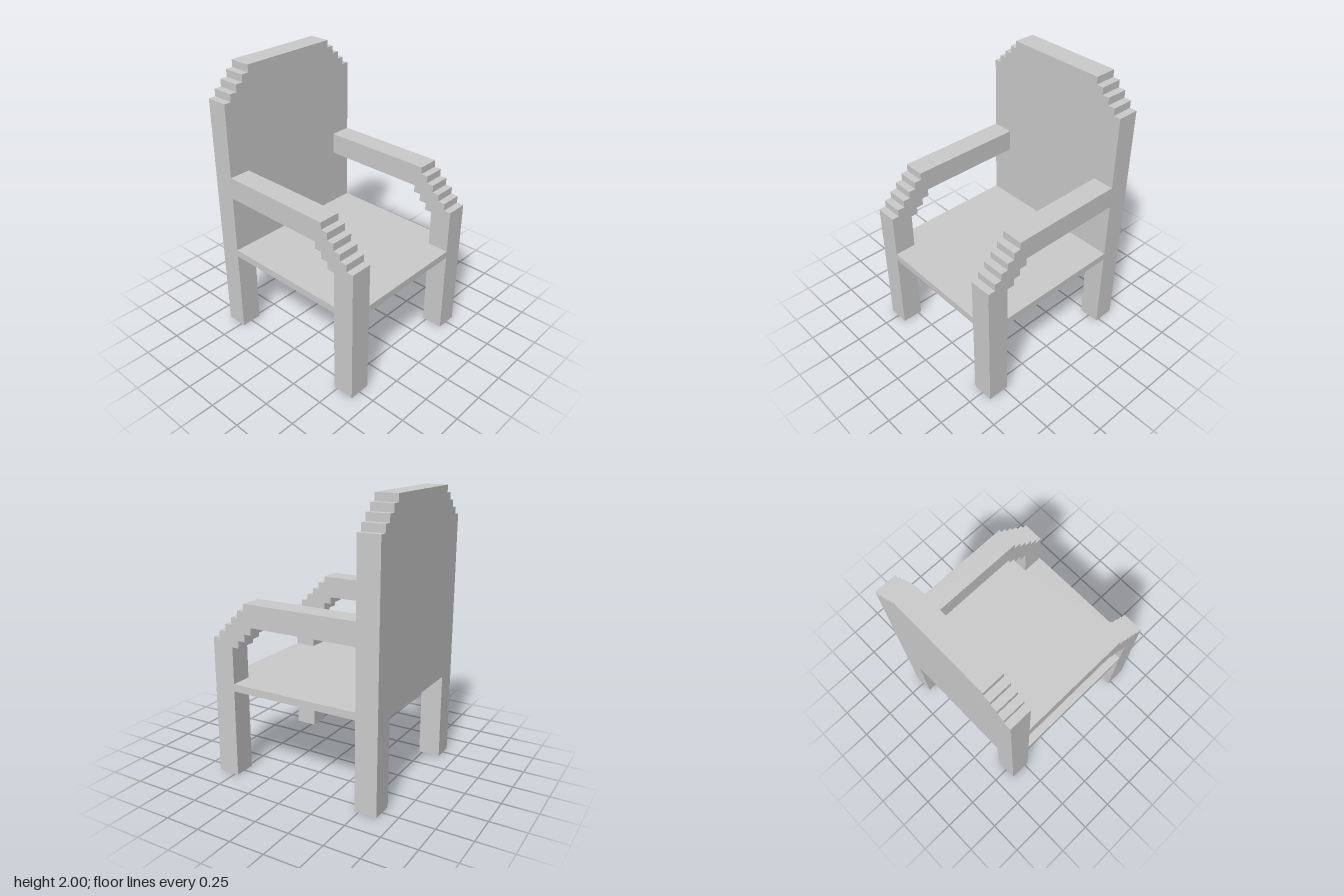
import * as THREE from 'three';

const U = 2 / 38; // one block unit; the chair is 22 x 38 x 24 units
const material = new THREE.MeshStandardMaterial({ color: 0xcccccc, flatShading: true });

// Extrudes an outline given in block units, starting at depth 0
function slab(name, points, depth) {
  const shape = new THREE.Shape(points.map(([x, y]) => new THREE.Vector2(x * U, y * U)));
  const geometry = new THREE.ExtrudeGeometry(shape, { depth: depth * U, bevelEnabled: false });
  const mesh = new THREE.Mesh(geometry, material);
  mesh.name = name;
  return mesh;
}

// Corner points of a staircase: each step moves by dx, then by dy
function stairs(x, y, dx, dy, count) {
  const points = [];
  for (let i = 0; i < count; i++) {
    x += dx;
    points.push([x, y]);
    y += dy;
    points.push([x, y]);
  }
  return points;
}

export function createModel() {
  const chair = new THREE.Group();
  chair.name = 'armchair';

  // Backrest with stepped shoulders, running down into the back legs
  const halfBack = [[8, 0], [11, 0], [11, 34], ...stairs(11, 34, -1, 1, 4)];
  const mirrored = halfBack.map(([x, y]) => [-x, y]).reverse();
  const back = slab('backrestAndBackLegs', [...halfBack, ...mirrored, [-8, 12], [8, 12]], 3);
  back.position.z = -12 * U;
  chair.add(back);

  // Front leg curving in steps into the armrest; outline is (z, y)
  const armOutline = [
    [9, 0], [12, 0], [12, 19], ...stairs(12, 19, -1, 1, 5),
    [-9, 24], [-9, 21], [6, 21],
    [6, 20], ...stairs(6, 20, 1, -1, 2), [9, 18],
  ];
  for (const [name, x] of [['leftArmAndFrontLeg', 11], ['rightArmAndFrontLeg', -8]]) {
    const arm = slab(name, armOutline, 3);
    arm.rotation.y = -Math.PI / 2; // outline x becomes z, depth becomes -x
    arm.position.x = x * U;
    chair.add(arm);
  }

  // Thin seat notched around the front legs; outline is (x, z)
  const seat = slab('seat', [
    [-11, -9], [11, -9], [11, 9], [8, 9], [8, 12], [-8, 12], [-8, 9], [-11, 9],
  ], 1);
  seat.rotation.x = Math.PI / 2; // outline y becomes z, depth becomes -y
  seat.position.y = 13 * U;
  chair.add(seat);

  return chair;
}
